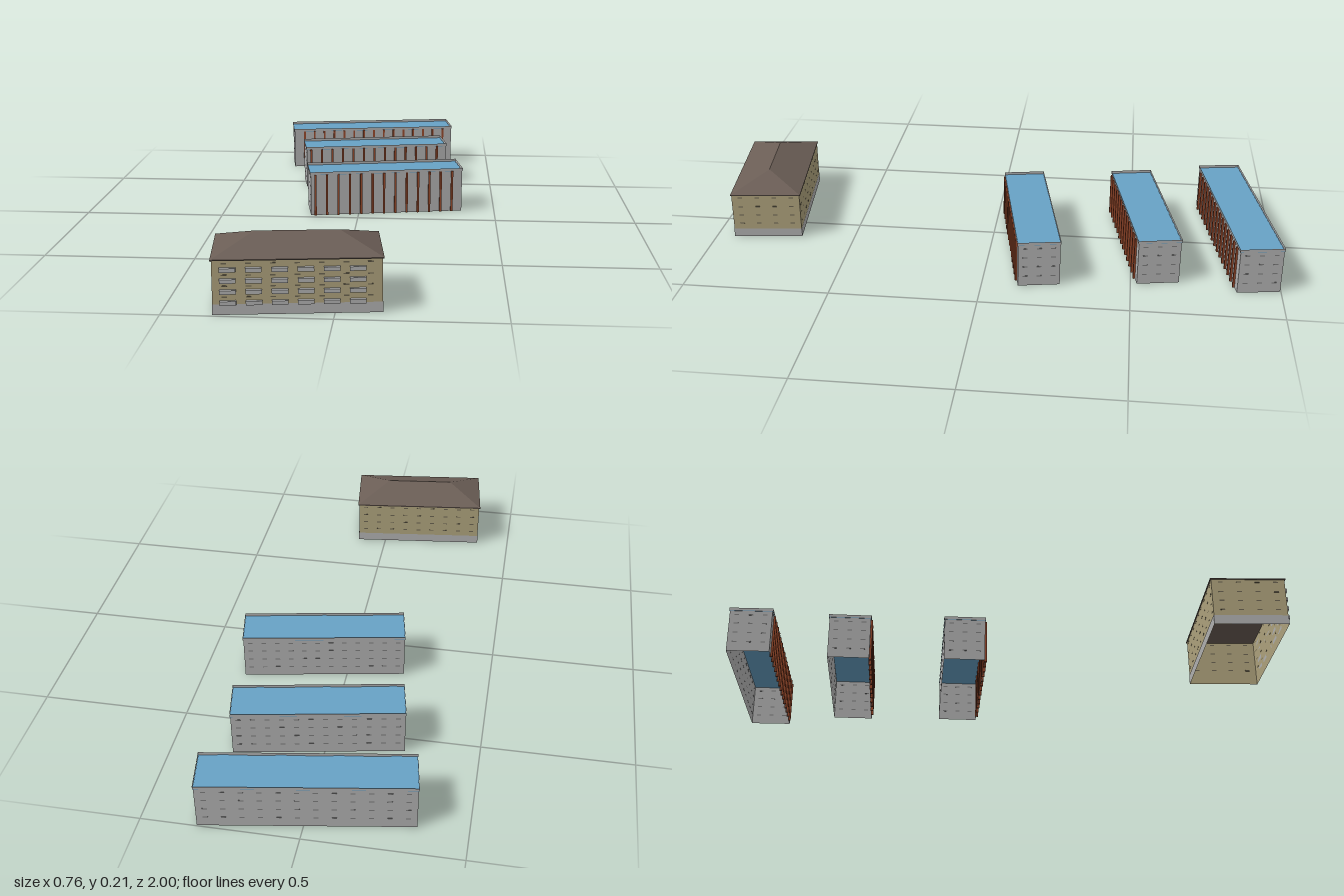
import * as THREE from 'three';
import { mergeGeometries } from 'three/addons/utils/BufferGeometryUtils.js';

const mat = (name, color, side = THREE.FrontSide) => {
  const m = new THREE.MeshStandardMaterial({ color, side });
  m.name = name;
  return m;
};

export function createModel() {
  const M = {
    plaster: mat('khaki plaster', 0xb0a47e, THREE.DoubleSide),
    concrete: mat('grey concrete', 0xb2b2b2, THREE.DoubleSide),
    tiles: mat('brown roof', 0x6b5e56, THREE.DoubleSide),
    blue: mat('blue flat roof', 0x68a2c6),
    fin: mat('rust fin', 0x97492b),
    houseWindow: mat('dark khaki window', 0x6a6350),
    blockWindow: mat('dark grey window', 0x7c7c7c),
  };

  const add = (group, name, geometry, material) => {
    const mesh = new THREE.Mesh(geometry, material);
    mesh.name = name;
    group.add(mesh);
    return mesh;
  };
  const box = (w, h, d, x, y, z) => new THREE.BoxGeometry(w, h, d).translate(x, y, z);

  // Four upright walls, open above and below
  const ring = (w, d, y0, y1) => mergeGeometries([0, 1, 2, 3].map((i) => {
    const [len, off] = i % 2 ? [d, w / 2] : [w, d / 2];
    return new THREE.PlaneGeometry(len, y1 - y0)
      .translate(0, (y0 + y1) / 2, off).rotateY(i * Math.PI / 2);
  }));

  // Rows of small window plates on one wall; side counts quarter turns from the front
  const windows = (w, d, side, columns, rows) => {
    const [len, off] = side % 2 ? [d, w / 2] : [w, d / 2];
    const list = [];
    for (const y of rows) {
      for (let i = 0; i < columns; i++) {
        const x = ((i + 0.5) / columns - 0.5) * len;
        list.push(box(0.016, 0.004, 0.001, x, y, off).rotateY(side * Math.PI / 2));
      }
    }
    return mergeGeometries(list);
  };

  const root = new THREE.Group();
  root.name = 'buildingComplex';

  // House with a hipped roof
  const house = new THREE.Group();
  house.name = 'house';
  const W = 0.488, D = 0.243;
  add(house, 'houseWalls', ring(W, D, 0, 0.164), M.plaster);
  add(house, 'plinth', ring(W + 0.002, D + 0.002, 0, 0.032), M.concrete);
  add(house, 'eaves', box(0.496, 0.003, 0.25, 0, 0.1645, 0), M.tiles);

  const a = [-0.248, 0.166, 0.125], b = [0.248, 0.166, 0.125];
  const c = [0.248, 0.166, -0.125], d = [-0.248, 0.166, -0.125];
  const l = [-0.125, 0.213, 0], r = [0.125, 0.213, 0];
  const hip = new THREE.BufferGeometry();
  hip.setAttribute('position', new THREE.Float32BufferAttribute(
    [a, b, r, a, r, l, b, c, r, c, d, l, c, l, r, d, a, l].flat(), 3));
  hip.computeVertexNormals();
  add(house, 'hippedRoof', hip, M.tiles);

  // Balconies: six columns on four floors
  const balconies = [];
  for (let row = 0; row < 4; row++) {
    for (let col = 0; col < 6; col++) {
      balconies.push(box(0.047, 0.012, 0.011,
        -0.199 + col * 0.0744, 0.0375 + row * 0.033, D / 2 + 0.0055));
    }
  }
  add(house, 'balconies', mergeGeometries(balconies), M.concrete);

  const houseRows = [0.053, 0.086, 0.119, 0.154];
  [7, 4, 9, 4].forEach((n, side) =>
    add(house, 'houseWindows', windows(W, D, side, n, houseRows), M.houseWindow));
  house.position.set(-0.12, 0, 0.841);
  house.rotation.y = THREE.MathUtils.degToRad(6.7);
  root.add(house);

  // Flat-roofed blocks with upright fins along the front
  const block = (name, length, depth, x, z, degrees, fins) => {
    const g = new THREE.Group();
    g.name = name;
    const w = length - 0.004, dp = depth - 0.004;
    add(g, 'blockWalls', ring(w, dp, 0, 0.155), M.concrete);
    add(g, 'parapet', ring(length, depth, 0.153, 0.163), M.concrete);
    add(g, 'flatRoof', box(length - 0.001, 0.002, depth - 0.001, 0, 0.153, 0), M.blue);
    const list = [];
    for (let i = 0; i < fins; i++) {
      list.push(box(0.0075, 0.153, 0.01, length / 2 - 0.04 - i * 0.0422, 0.0765, dp / 2 + 0.002));
    }
    add(g, 'fins', mergeGeometries(list), M.fin);
    const rows = [0.035, 0.07, 0.105, 0.138];
    [[1, 3], [2, 12], [3, 3]].forEach(([side, n]) =>
      add(g, 'blockWindows', windows(w, dp, side, n, rows), M.blockWindow));
    g.position.set(x, 0, z);
    g.rotation.y = THREE.MathUtils.degToRad(degrees);
    root.add(g);
  };
  block('frontBlock', 0.565, 0.146, 0.09, -0.143, 10.3, 13);
  block('middleBlock', 0.565, 0.148, 0.032, -0.541, 10.5, 13);
  block('rearBlock', 0.675, 0.15, 0.001, -0.872, 9.1, 15);

  return root;
}
